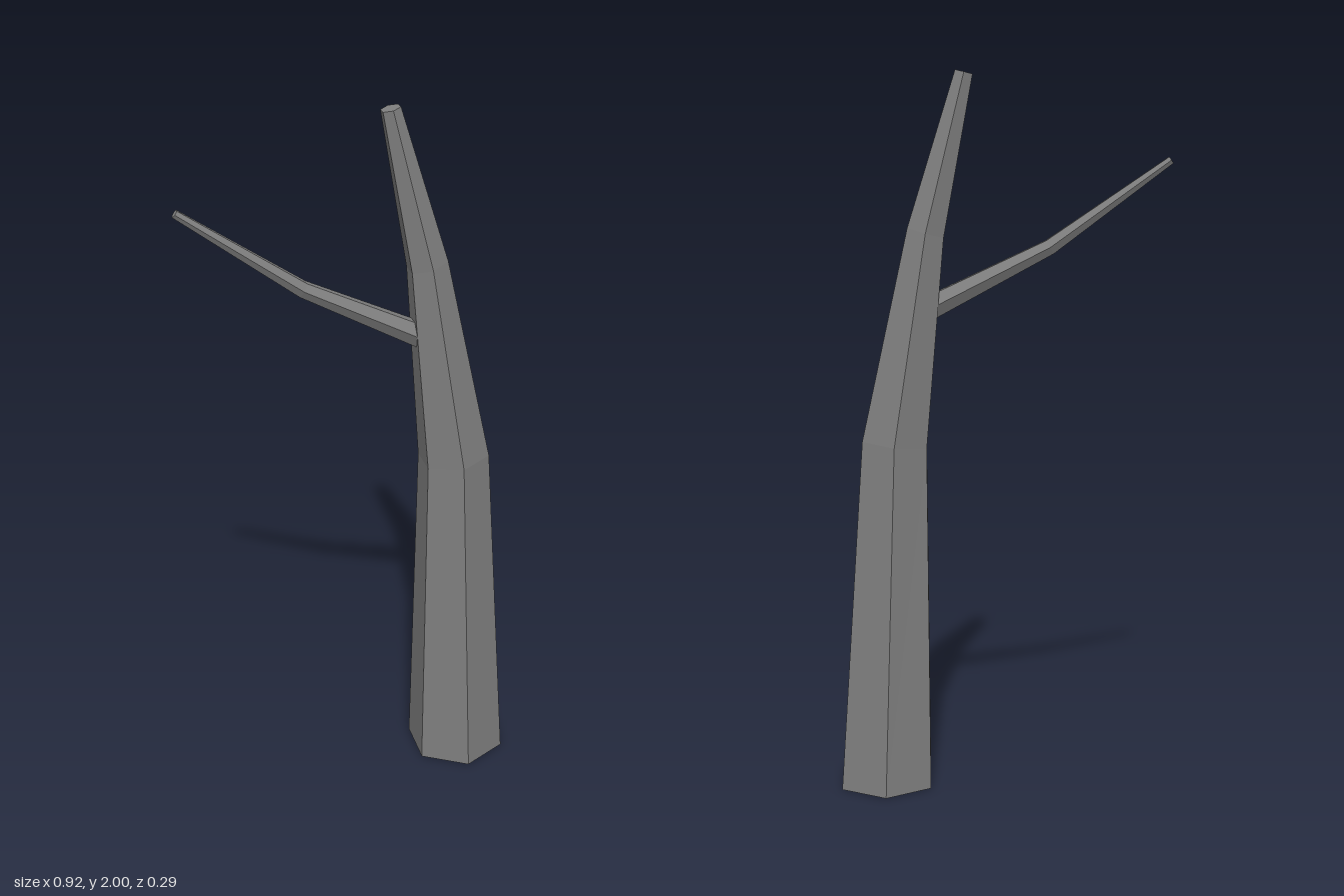
import * as THREE from 'three';

const SIDES = 6;

// Tapered six-sided limb through rings [x, y, radius, tilt]; open at the start, capped at the end.
function limb(name, rings, material) {
  const corners = rings.map(([x, y, r, tilt]) =>
    Array.from({ length: SIDES }, (_, k) => {
      const a = (k / SIDES) * Math.PI * 2;
      const s = r * Math.sin(a);
      return [x + s * Math.cos(tilt), y + s * Math.sin(tilt), r * Math.cos(a)];
    })
  );
  const pos = [];
  const tri = (a, b, c) => pos.push(...a, ...b, ...c);

  // side faces
  for (let i = 0; i < corners.length - 1; i++) {
    const lo = corners[i], hi = corners[i + 1];
    for (let k = 0; k < SIDES; k++) {
      const n = (k + 1) % SIDES;
      tri(lo[k], lo[n], hi[n]);
      tri(lo[k], hi[n], hi[k]);
    }
  }
  // end cap
  const end = corners[corners.length - 1];
  for (let k = 1; k < SIDES - 1; k++) tri(end[0], end[k], end[k + 1]);

  const geometry = new THREE.BufferGeometry();
  geometry.setAttribute('position', new THREE.Float32BufferAttribute(pos, 3));
  geometry.computeVertexNormals();
  const mesh = new THREE.Mesh(geometry, material);
  mesh.name = name;
  return mesh;
}

export function createModel() {
  const group = new THREE.Group();
  group.name = 'bareTree';
  const bark = new THREE.MeshStandardMaterial({
    color: 0x7f7f7f, flatShading: true, side: THREE.DoubleSide,
  });

  // leaning trunk, hollow at the foot
  group.add(limb('trunk', [
    [0.336, 0, 0.145, 0],
    [0.304, 0.985, 0.103, 0.12],
    [0.215, 1.565, 0.059, 0.27],
    [0.109, 1.994, 0.028, 0.24],
  ], bark));

  // side branch, rooted inside the trunk
  group.add(limb('branch', [
    [0.215, 1.354, 0.037, 1.11],
    [-0.125, 1.525, 0.024, 1.04],
    [-0.455, 1.76, 0.012, 0.96],
  ], bark));

  return group;
}
